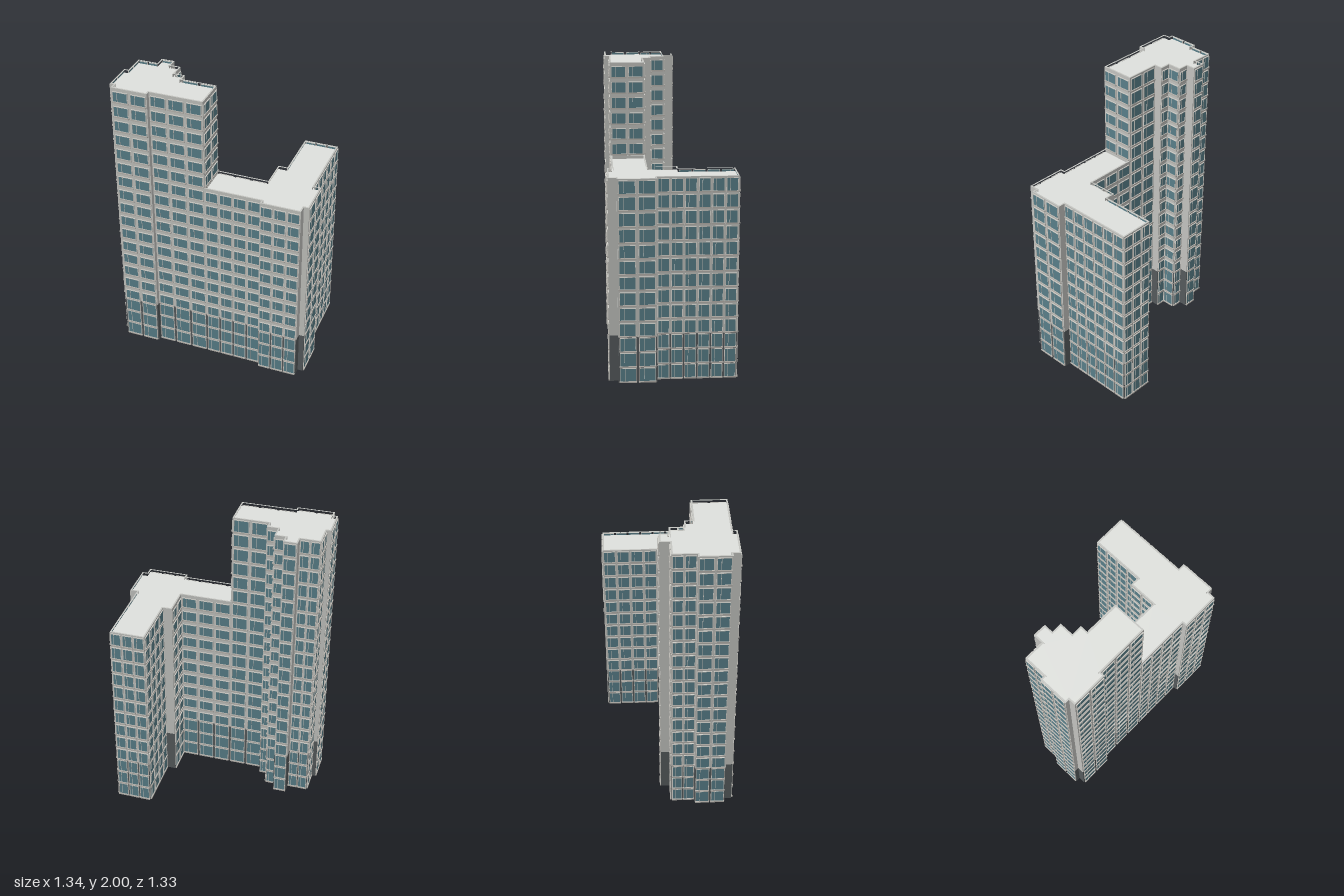
import * as THREE from 'three';
import { mergeGeometries } from 'three/addons/utils/BufferGeometryUtils.js';

const FLOOR = 2 / 19;          // storey height
const PODIUM_FLOORS = 3;
const TURN = 0.491;            // plan rotation of the whole building
const LOW = 0.07;              // window height on banded walls
const TALL = 0.083;            // window height on glassy walls

// Each plan corner: [across, along, window bays on the wall to the next corner, window height, first floor of bays]
const TOWER = [
  [0.044, -0.73, 2, TALL], [0.044, -0.594, 0], [0.109, -0.594, 1, TALL], [0.109, -0.502, 0],
  [0.047, -0.502, 1, LOW], [0.047, -0.432, 1, LOW], [-0.049, -0.432, 1, LOW], [-0.049, -0.36, 0],
  [-0.104, -0.36, 2, TALL], [-0.104, -0.12, 2, LOW, 13], [-0.334, -0.12, 3, LOW], [-0.334, -0.485, 0],
  [-0.364, -0.485, 2, LOW], [-0.364, -0.732, 0], [-0.317, -0.732, 0], [-0.317, -0.761, 2, TALL],
  [-0.11, -0.761, 0], [-0.11, -0.73, 2, TALL],
];
const WING = [
  [-0.104, -0.12, 3, LOW], [-0.104, 0.234, 2, LOW], [0.094, 0.234, 0], [0.094, 0.298, 4, TALL],
  [0.468, 0.298, 3, TALL], [0.468, 0.532, 6, TALL], [-0.057, 0.532, 0], [-0.057, 0.581, 2, TALL],
  [-0.31, 0.581, 0], [-0.31, 0.545, 0], [-0.366, 0.545, 3, LOW], [-0.366, 0.27, 0],
  [-0.334, 0.27, 4, LOW], [-0.334, -0.12, 0],
];

function material(name, color) {
  const m = new THREE.MeshStandardMaterial({ color });
  m.name = name;
  return m;
}

// Wall from corner i to the next, with its outward normal
function wall(plan, i) {
  const [x0, z0, bays, high, first = 0] = plan[i];
  const [x1, z1] = plan[(i + 1) % plan.length];
  const length = Math.hypot(x1 - x0, z1 - z0);
  return { x0, z0, dx: x1 - x0, dz: z1 - z0, length, bays, high, first,
    nx: (z1 - z0) / length, nz: -(x1 - x0) / length };
}

// Plan corners moved inwards by t, as shape points
function outline(plan, t = 0) {
  return plan.map(([x, z], i) => {
    const a = wall(plan, (i + plan.length - 1) % plan.length);
    const b = wall(plan, i);
    return new THREE.Vector2(x - t * (a.nx + b.nx), -(z - t * (a.nz + b.nz)));
  });
}

function slab(plan, y0, y1, inset = 0) {
  const shape = new THREE.Shape(outline(plan));
  if (inset) shape.holes.push(new THREE.Path(outline(plan, inset)));
  return new THREE.ExtrudeGeometry(shape, { depth: y1 - y0, bevelEnabled: false })
    .rotateX(-Math.PI / 2).translate(0, y0, 0);
}

function buildBlock(name, plan, floors, mats) {
  const group = new THREE.Group();
  group.name = name;
  const add = (part, geometry, mat) => {
    const mesh = new THREE.Mesh(geometry, mat);
    mesh.name = part;
    group.add(mesh);
  };
  const top = floors * FLOOR;
  const podiumTop = PODIUM_FLOORS * FLOOR;

  // Solid mass: dark base with a pale underside, pale shaft, sunken roof behind a parapet
  add('podium', slab(plan, 0, podiumTop), [mats.wall, mats.podium]);
  add('shaft', slab(plan, podiumTop, top - 0.025), [mats.roof, mats.wall]);
  add('parapet', slab(plan, top - 0.025, top, 0.01), mats.wall);

  // Repeating window bays
  const parts = { glass: [], frame: [], ledge: [] };
  plan.forEach((_, i) => {
    const w = wall(plan, i);
    const pitch = w.length / w.bays;
    const width = pitch * 0.82;
    for (let b = 0; b < w.bays; b++) {
      const t = (b + 0.5) / w.bays;
      const place = (list, sx, sy, depth, ox, y) => list.push(
        new THREE.BoxGeometry(sx, sy, depth).translate(ox, y, depth / 2)
          .rotateY(Math.atan2(w.nx, w.nz))
          .translate(w.x0 + w.dx * t, 0, w.z0 + w.dz * t));
      for (let f = w.first; f < floors; f++) {
        const y = f * FLOOR;
        const high = f < PODIUM_FLOORS ? 0.09 : w.high;
        const mid = y + 0.01 + high / 2;
        place(parts.glass, width, high, 0.003, 0, mid);
        // jambs and an off-centre mullion
        for (const s of [-1, 1]) place(parts.frame, 0.004, high, 0.006, s * width / 2, mid);
        place(parts.frame, 0.003, high, 0.005, -width * 0.2, mid);
        // head strip and projecting sill
        place(parts.frame, width, 0.004, 0.006, 0, y + 0.01 + high);
        place(parts.ledge, width + 0.01, 0.01, 0.009, 0, y + 0.006);
      }
    }
  });
  add('windowGlass', mergeGeometries(parts.glass), mats.glass);
  add('windowFrames', mergeGeometries(parts.frame), mats.frame);
  add('windowLedges', mergeGeometries(parts.ledge), mats.ledge);
  return group;
}

export function createModel() {
  const mats = {
    wall: material('pale wall', 0xc6c7c3),
    podium: material('dark podium', 0x575c5e),
    roof: material('roof grey', 0xdfe1dd),
    glass: material('teal glass', 0x5a818c),
    frame: material('light frame', 0xd0cfc9),
    ledge: material('stone ledge', 0xbcb9b3),
  };
  const model = new THREE.Group();
  model.name = 'apartmentBuilding';
  const building = new THREE.Group();
  building.name = 'building';
  building.rotation.y = TURN;
  building.add(buildBlock('tower', TOWER, 19, mats), buildBlock('lowerWing', WING, 13, mats));
  model.add(building);
  return model;
}
